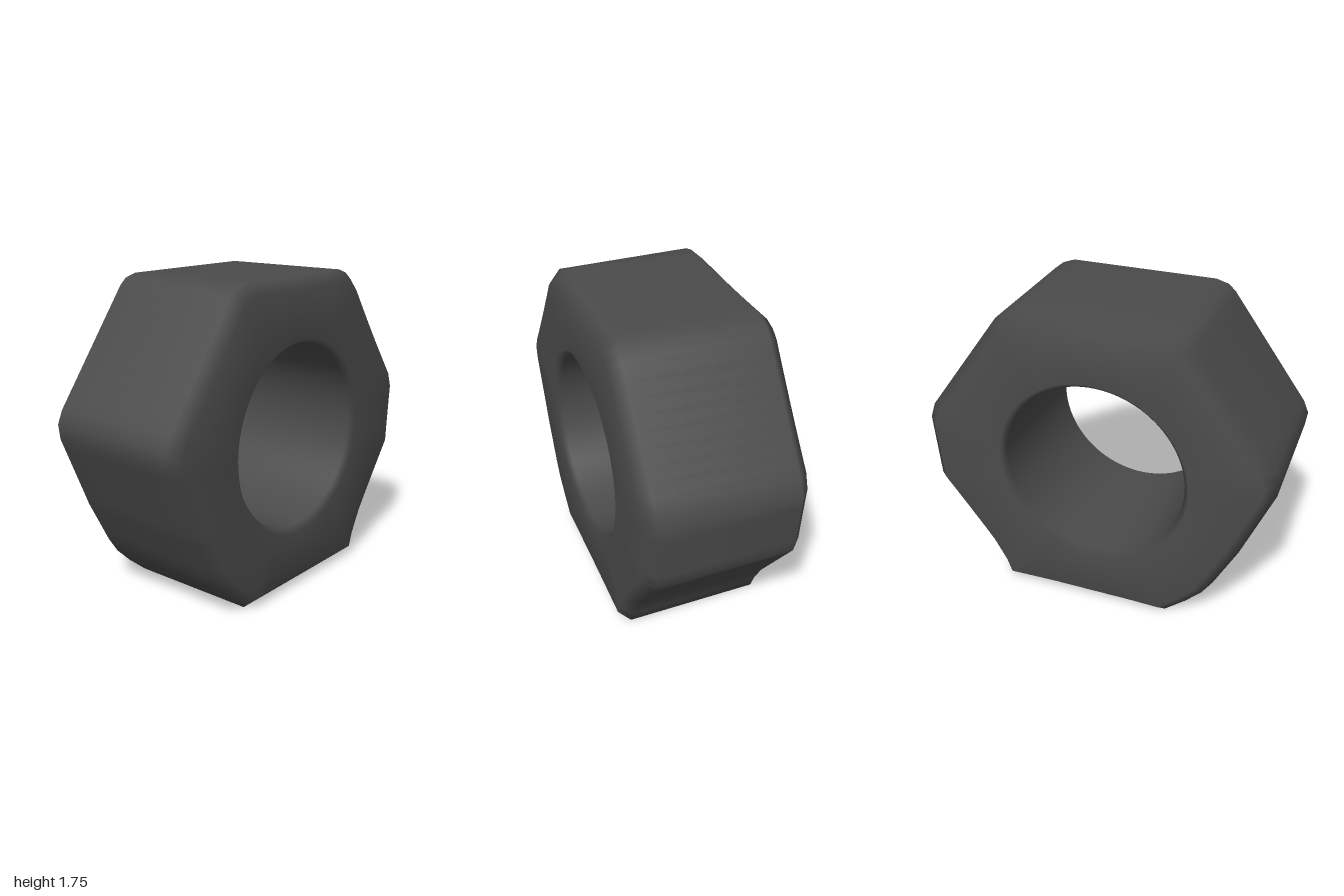
import * as THREE from 'three';

const CENTRE_Y = 0.873;
const BORE = 0.515;
const HALF = 0.445;

// Worn hexagonal outline, anticlockwise seen from the front
const OUTLINE = [
  [1, 1.0], [0.97, 1.09], [0.54, 1.68], [0.49, 1.72], [0.42, 1.745],
  [-0.42, 1.745], [-0.49, 1.725], [-0.53, 1.69], [-0.97, 1.09], [-1, 1.02], [-0.99, 0.94],
  [-0.82, 0.53], [-0.69, 0.28], [-0.63, 0.19], [-0.54, 0.1], [-0.42, 0],
  [0.56, 0], [0.59, 0.08], [0.67, 0.22], [0.97, 0.63],
];

// Cross-section of the ring at one angle, as [radius, z] pairs
function section(r) {
  return [
    [BORE, -0.41], [BORE + 0.03, -HALF], [r - 0.065, -HALF], [r, -0.38],
    [r, 0.38], [r - 0.065, HALF], [BORE + 0.03, HALF], [BORE, 0.41],
  ];
}

// Split long outline edges so that the bore stays round
function resample(points, step) {
  const out = [];
  points.forEach(([x, y], i) => {
    const [u, v] = points[(i + 1) % points.length];
    const n = Math.max(1, Math.round(Math.hypot(u - x, v - y) / step));
    for (let k = 0; k < n; k++) {
      out.push([x + (u - x) * k / n, y + (v - y) * k / n - CENTRE_Y]);
    }
  });
  return out;
}

// Sweep the section round the outline into one closed, smooth ring
function nutGeometry() {
  const rim = resample(OUTLINE, 0.08);
  const positions = [], index = [];
  const count = section(1).length;
  rim.forEach(([x, y], i) => {
    const r = Math.hypot(x, y);
    for (const [radius, z] of section(r)) {
      positions.push(x / r * radius, CENTRE_Y + y / r * radius, z);
    }
    const next = (i + 1) % rim.length;
    for (let j = 0; j < count; j++) {
      const k = (j + 1) % count;
      const a = i * count + j, b = next * count + j;
      const c = next * count + k, d = i * count + k;
      index.push(a, b, c, a, c, d);
    }
  });
  const geometry = new THREE.BufferGeometry();
  geometry.setAttribute('position', new THREE.Float32BufferAttribute(positions, 3));
  geometry.setIndex(index);
  geometry.computeVertexNormals();
  return geometry;
}

export function createModel() {
  const steel = new THREE.MeshStandardMaterial({ color: 0x4b4b4b });
  steel.name = 'dark steel';
  const nut = new THREE.Mesh(nutGeometry(), steel);
  nut.name = 'hexNut';
  const group = new THREE.Group();
  group.name = 'nut';
  group.add(nut);
  return group;
}
